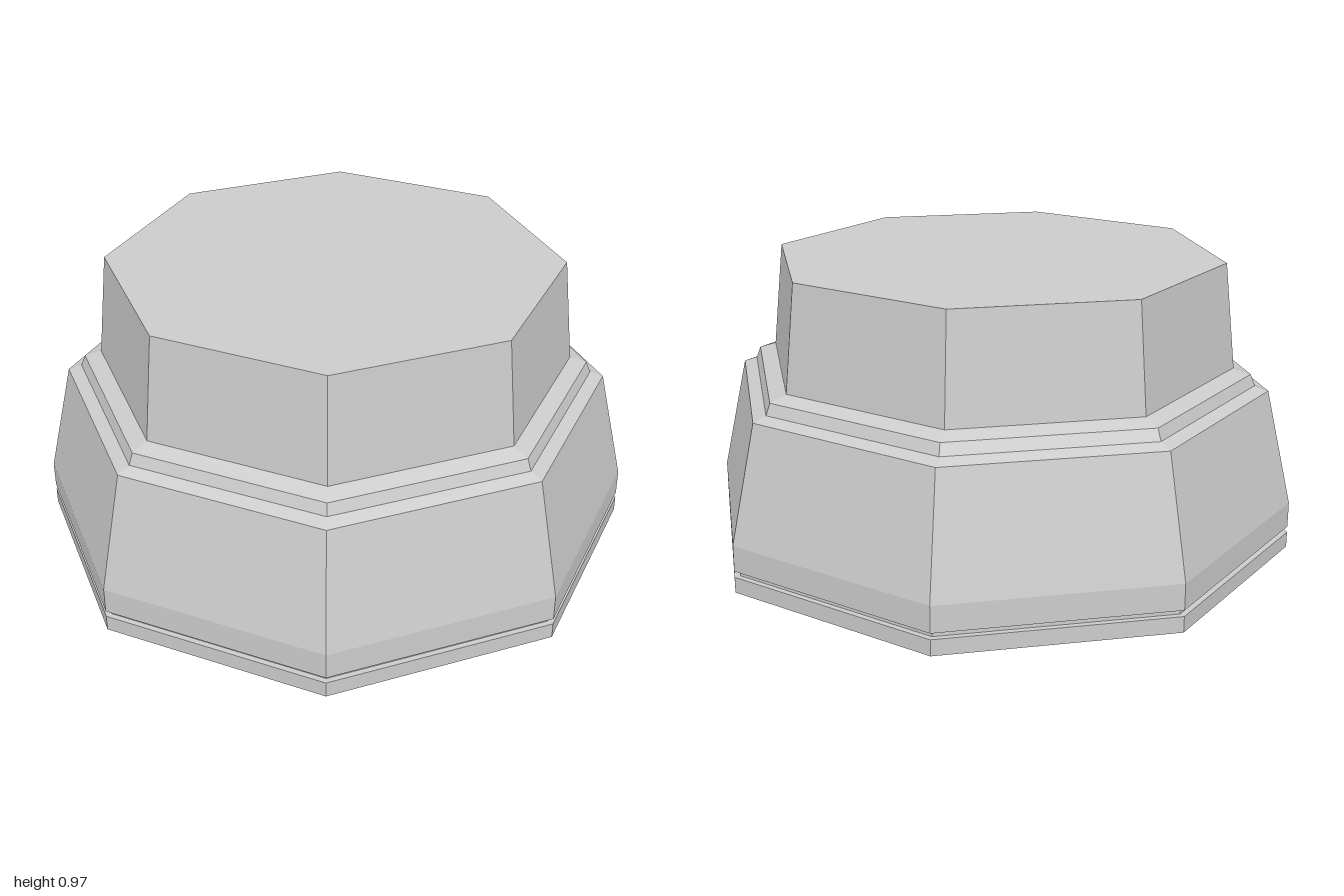
import * as THREE from 'three';

const SIDES = 8;

export function createModel() {
  const model = new THREE.Group();
  model.name = 'octagonalPedestal';
  const material = new THREE.MeshStandardMaterial({ color: 0xcccccc, flatShading: true });

  // Each section is an eight-sided lathe; profiles are [radius, height], bottom to top,
  // and neighbouring sections share their end rings.
  const addSection = (name, profile) => {
    const points = profile.map(([r, y]) => new THREE.Vector2(r, y));
    const mesh = new THREE.Mesh(new THREE.LatheGeometry(points, SIDES), material);
    mesh.name = name;
    model.add(mesh);
  };

  // Foot plate with closed underside
  addSection('footPlate', [[0, 0], [1, 0], [1, 0.053]]);
  // Narrow recessed groove
  addSection('groove', [[1, 0.053], [0.98, 0.053], [0.98, 0.073], [1, 0.073]]);
  // Lower body: short upright band, then a taper
  addSection('lowerBody', [[1, 0.073], [1, 0.16], [0.91, 0.55]]);
  // Stepped collar
  addSection('collar', [[0.91, 0.55], [0.865, 0.566], [0.85, 0.604], [0.793, 0.623]]);
  // Upper block with flat top
  addSection('upperBlock', [[0.793, 0.623], [0.755, 0.974], [0, 0.974]]);

  return model;
}
